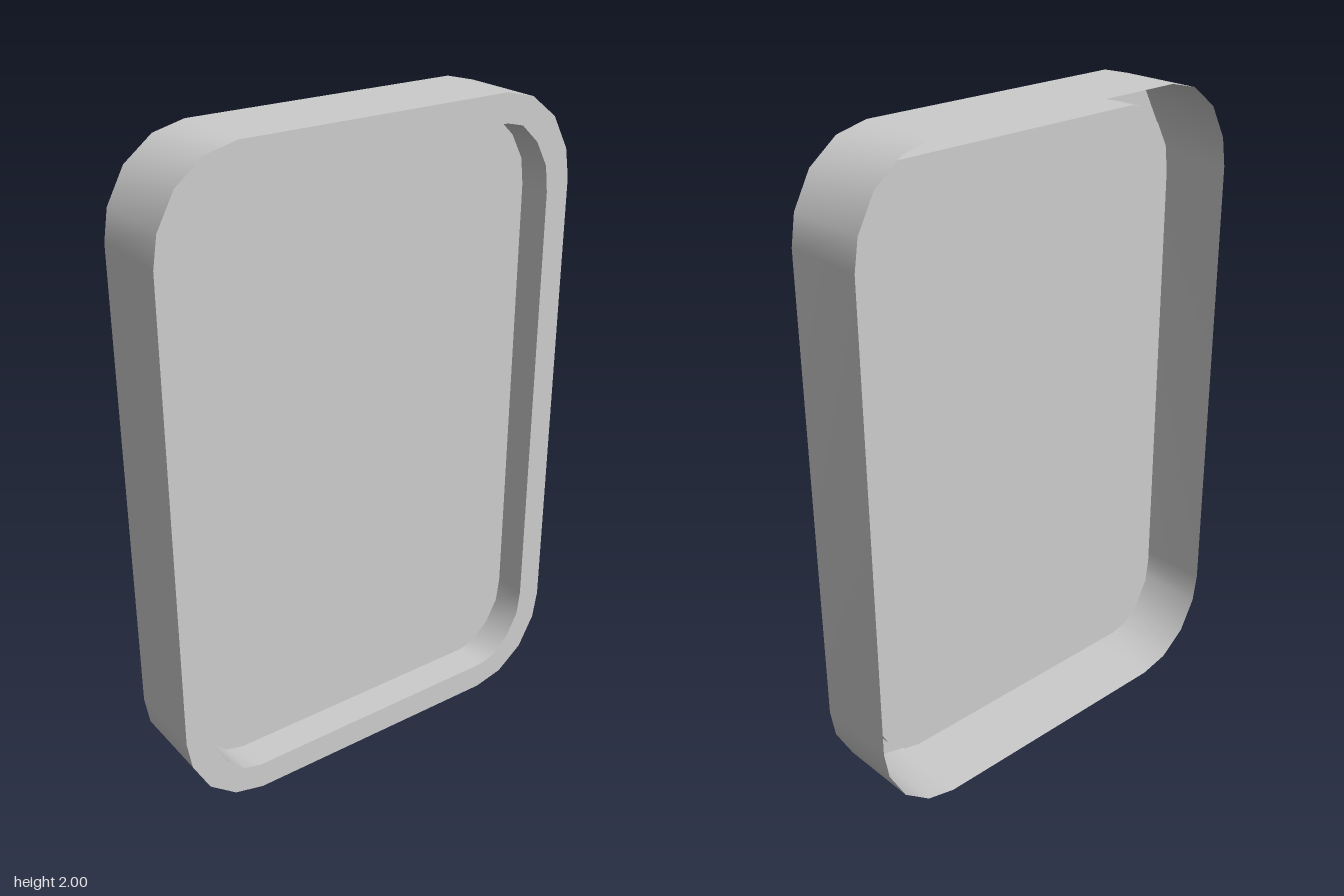
import * as THREE from 'three';

const FRONT = 0.13, BACK = -0.13, PANEL = 0.025;

// One corner of each outline, measured from the centre of the frame
const OUTER = [[0.68, 0.72], [0.665, 0.81], [0.611, 0.91], [0.525, 0.977], [0.43, 1]];
const INNER = [[0.6, 0.69], [0.59, 0.77], [0.55, 0.845], [0.492, 0.9], [0.435, 0.914]];

// Mirror a corner into a closed counter-clockwise outline standing on y = 0
function outline(corner) {
  const back = [...corner].reverse();
  return [
    ...corner,
    ...back.map(([x, y]) => [-x, y]),
    ...corner.map(([x, y]) => [-x, -y]),
    ...back.map(([x, y]) => [x, -y]),
  ].map(([x, y]) => [x, y + 1]);
}

// Closed band of quads joining outline a at depth za to outline b at depth zb
function band(a, za, b, zb) {
  const n = a.length, positions = [], index = [];
  for (let i = 0; i < n; i++) positions.push(...a[i], za, ...b[i], zb);
  for (let i = 0; i < n; i++) {
    const p = 2 * i, q = 2 * ((i + 1) % n);
    index.push(p, p + 1, q + 1, p, q + 1, q);
  }
  const g = new THREE.BufferGeometry();
  g.setAttribute('position', new THREE.Float32BufferAttribute(positions, 3));
  g.setIndex(index);
  g.computeVertexNormals();
  return g;
}

export function createModel() {
  const model = new THREE.Group();
  model.name = 'trayFrame';
  const material = new THREE.MeshStandardMaterial({ color: 0xcccccc, side: THREE.DoubleSide });
  const outer = outline(OUTER), inner = outline(INNER);

  const add = (name, geometry) => {
    const mesh = new THREE.Mesh(geometry, material);
    mesh.name = name;
    model.add(mesh);
  };

  // Thin outer shell, open at the back
  add('outerWall', band(outer, FRONT, outer, BACK));
  // Flat border around the front opening
  add('frontRim', band(inner, FRONT, outer, FRONT));
  // Short wall stepping back to the panel
  add('innerWall', band(inner, PANEL, inner, FRONT));
  // Recessed panel
  const shape = new THREE.Shape(inner.map(([x, y]) => new THREE.Vector2(x, y)));
  add('panel', new THREE.ShapeGeometry(shape).translate(0, 0, PANEL));

  return model;
}
